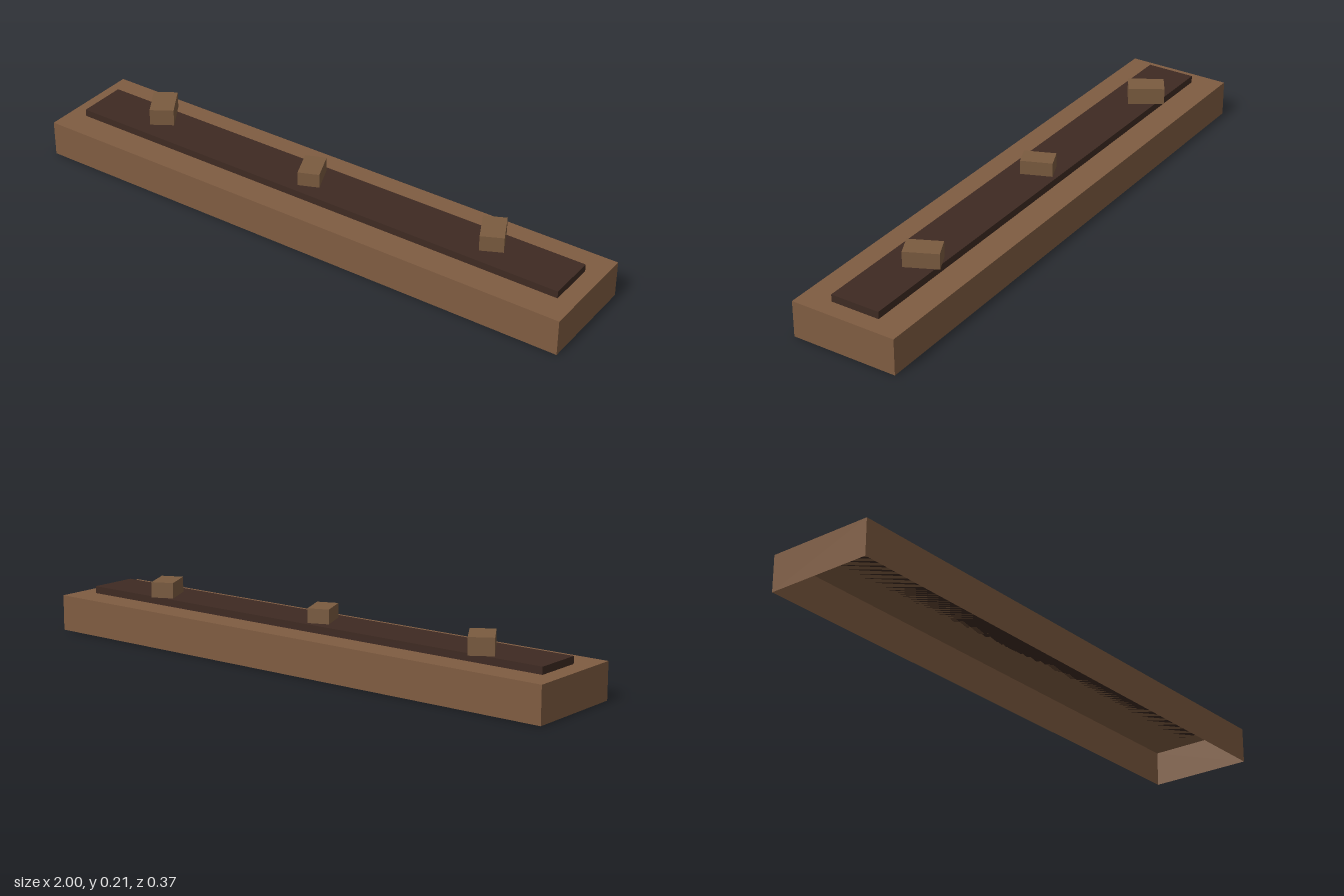
import * as THREE from 'three';

export function createModel() {
  const wood = new THREE.MeshStandardMaterial({ color: 0x7f5c41, side: THREE.DoubleSide });
  wood.name = 'wood';
  const soil = new THREE.MeshStandardMaterial({ color: 0x3e2a22 });
  soil.name = 'dark soil';
  const clod = new THREE.MeshStandardMaterial({ color: 0x7a5b3f });
  clod.name = 'light clod';

  const model = new THREE.Group();
  model.name = 'planterBed';

  // Box standing on height y
  const addBox = (name, geometry, material, x, y, z, turn = 0) => {
    const mesh = new THREE.Mesh(geometry, material);
    mesh.name = name;
    mesh.position.set(x, y + geometry.parameters.height / 2, z);
    mesh.rotation.y = turn;
    model.add(mesh);
  };

  // Thin-walled base, open underneath: drop the bottom face (fourth of six)
  const shell = new THREE.BoxGeometry(2, 0.125, 0.374);
  const index = Array.from(shell.index.array);
  index.splice(18, 6);
  shell.setIndex(index);
  shell.clearGroups();
  addBox('base', shell, wood, 0, 0, 0);

  // Raised dark strip
  addBox('topStrip', new THREE.BoxGeometry(1.876, 0.025, 0.174), soil, 0, 0.125, 0);

  // Turned blocks: x, z, width, height, depth, turn
  [
    [-0.688, -0.039, 0.083, 0.058, 0.126, 0.56],
    [-0.038, -0.008, 0.073, 0.049, 0.109, 0.39],
    [0.639, -0.032, 0.078, 0.054, 0.117, 0.45],
  ].forEach(([x, z, w, h, d, turn], i) =>
    addBox(`block${i + 1}`, new THREE.BoxGeometry(w, h, d), clod, x, 0.15, z, turn));

  return model;
}
